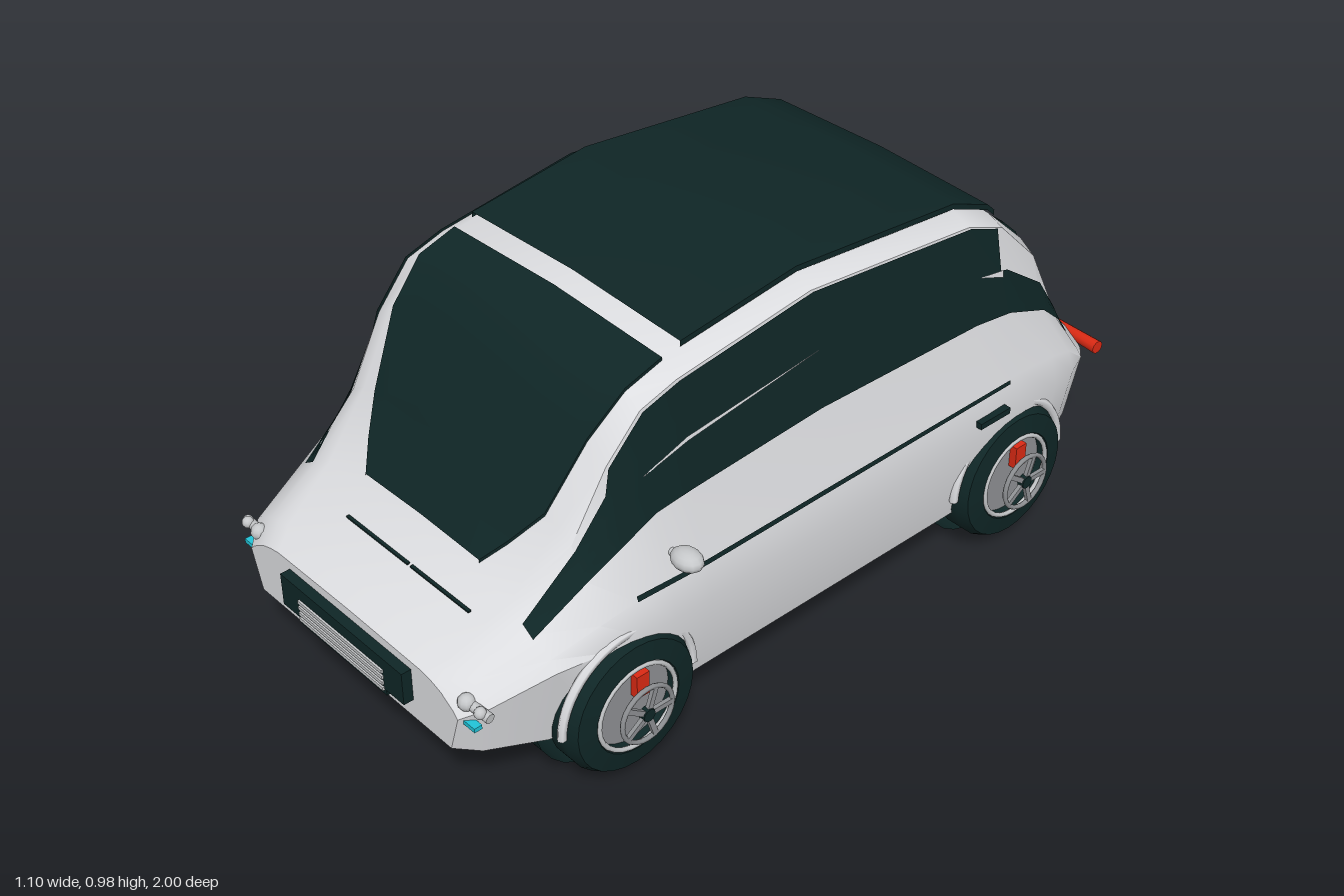
import * as THREE from 'three';
import { toCreasedNormals } from 'three/addons/utils/BufferGeometryUtils.js';

const mat = (name, color, side = THREE.FrontSide) => {
  const m = new THREE.MeshStandardMaterial({ color, side });
  m.name = name;
  return m;
};
const mix = THREE.MathUtils.lerp;

// Body stations, front to back: z, half width at the belt, then heights of window foot, window top and centre
const STATIONS = [
  [0.97, 0.375, 0.34, 0.35, 0.36],
  [0.92, 0.42, 0.37, 0.38, 0.39],
  [0.78, 0.465, 0.435, 0.46, 0.48],
  [0.66, 0.485, 0.52, 0.59, 0.63],
  [0.57, 0.495, 0.57, 0.75, 0.8],
  [0.48, 0.5, 0.615, 0.85, 0.885],
  [0.38, 0.5, 0.625, 0.88, 0.915],
  [0, 0.5, 0.65, 0.93, 0.96],
  [-0.5, 0.5, 0.64, 0.88, 0.91],
  [-0.62, 0.495, 0.62, 0.83, 0.86],
  [-0.76, 0.48, 0.56, 0.69, 0.735],
  [-0.84, 0.465, 0.49, 0.54, 0.59],
  [-0.9, 0.44, 0.42, 0.43, 0.445],
  [-0.96, 0.39, 0.385, 0.395, 0.4],
  [-0.985, 0.355, 0.365, 0.375, 0.385],
];
const WINDOW_FOOT = 3, WINDOW_TOP = 4;

// Half section of a station: sill, belt, waist, window foot, window top, roof edge, roof centre
const SECTIONS = STATIONS.map(([z, w, foot, top, centre]) => {
  const lift = Math.max(0, (Math.abs(z) - 0.7) / 0.27), belt = Math.min(0.37, foot - 0.04);
  return {
    z,
    p: [
      [w * 0.92, 0.145 + 0.055 * lift], [w, belt], [w * 0.96, mix(belt, foot, 0.4)], [w * 0.86, foot],
      [w * 0.78, top], [w * 0.69, mix(top, centre, 0.65)], [0, centre],
    ],
  };
});

function sectionAt(z) {
  let i = 0;
  while (i < SECTIONS.length - 2 && SECTIONS[i + 1].z > z) i++;
  const a = SECTIONS[i], b = SECTIONS[i + 1], t = (a.z - z) / (a.z - b.z);
  return a.p.map((q, k) => [mix(q[0], b.p[k][0], t), mix(q[1], b.p[k][1], t)]);
}
// Look up one coordinate on the section from the other
function lookUp(points, from, value) {
  const to = 1 - from;
  const p = from === 0 ? points.slice(WINDOW_FOOT).reverse() : points;
  let i = 0;
  while (i < p.length - 2 && value > p[i + 1][from]) i++;
  return mix(p[i][to], p[i + 1][to], (value - p[i][from]) / (p[i + 1][from] - p[i][from]));
}

// Skin over rows of points, running front to back
function skin(rows, closed = false) {
  const n = rows[0].length, index = [];
  for (let i = 0; i < rows.length - 1; i++) {
    for (let j = 0; j < (closed ? n : n - 1); j++) {
      const a = i * n + j, b = i * n + (j + 1) % n;
      index.push(a, a + n, b, b, a + n, b + n);
    }
  }
  const g = new THREE.BufferGeometry();
  g.setAttribute('position', new THREE.Float32BufferAttribute(rows.flat(2), 3));
  g.setIndex(index);
  return toCreasedNormals(g, 0.6);
}

export function createModel() {
  const car = new THREE.Group();
  car.name = 'car';
  const paint = mat('white paint', 0xdcdde0, THREE.DoubleSide);
  const dark = mat('dark glass and rubber', 0x0f2626, THREE.DoubleSide);
  const metal = mat('grey metal', 0x8f9194);
  const silver = mat('light silver', 0xc6c8ca);
  const red = mat('red', 0xdc2a14);
  const cyan = mat('cyan light', 0x22c4d8);

  const add = (name, geo, m, pos = [0, 0, 0], parent = car) => {
    const mesh = new THREE.Mesh(geo, m);
    mesh.name = name;
    mesh.position.set(...pos);
    parent.add(mesh);
    return mesh;
  };
  const box = (name, size, pos, m, parent) => add(name, new THREE.BoxGeometry(...size), m, pos, parent);
  // Tapered round bar between two points
  const rod = (name, a, b, ra, rb, m) => {
    const A = new THREE.Vector3(...a), B = new THREE.Vector3(...b), d = B.clone().sub(A);
    const mesh = add(name, new THREE.CylinderGeometry(rb, ra, d.length(), 10), m);
    mesh.position.copy(A).add(B).multiplyScalar(0.5);
    mesh.quaternion.setFromUnitVectors(new THREE.Vector3(0, 1, 0), d.normalize());
  };

  // Body shell, closed at nose and tail
  const rings = SECTIONS.map(({ z, p }) => [
    ...p.map(([x, y]) => [x, y, z]),
    ...p.slice(0, -1).reverse().map(([x, y]) => [-x, y, z]),
  ]);
  const cap = (ring) => ring.map(() => [0, 0.27, ring[0][2]]);
  add('body', skin([cap(rings[0]), ...rings, cap(rings.at(-1))], true), paint);

  // Panels lying on the top surface: [z, half width] per row
  const topPanel = (name, rows, lift, skirt) => add(name, skin(rows.map(([z, w]) => {
    const s = sectionAt(z);
    const pts = [1, 0.85, 0.5, 0, -0.5, -0.85, -1].map((f) => [f * w, lookUp(s, 0, Math.abs(f * w)) + lift, z]);
    const edge = ([x, y]) => [x, y - skirt, z];
    return [edge(pts[0]), ...pts, edge(pts.at(-1))];
  })), dark);
  topPanel('windshield', [[0.765, 0.2], [0.72, 0.245], [0.66, 0.295], [0.57, 0.33], [0.48, 0.345], [0.38, 0.345]], 0.009, 0.008);
  topPanel('roofPanel', [[0.33, 0.345], [0, 0.345], [-0.5, 0.34], [-0.62, 0.34], [-0.65, 0.335]], 0.02, 0.014);
  topPanel('rearWindow', [[-0.7, 0.32], [-0.76, 0.315], [-0.84, 0.3], [-0.895, 0.2]], 0.009, 0.008);

  // Panels lying on the flanks: [z, low, high] per row, as heights or as fractions of the window band
  const sidePanel = (name, side, rows, lift, m, inBand) => add(name, skin(rows.map(([z, lo, hi]) => {
    const s = sectionAt(z), foot = s[WINDOW_FOOT][1], top = s[WINDOW_TOP][1];
    return [0, 0.33, 0.67, 1].map((f) => {
      const v = mix(lo, hi, f), y = inBand ? mix(foot, top, v) : v;
      return [side * (lookUp(s, 1, y) + lift), y, z];
    });
  })), m);
  const windowRows = [[0.79, 0.9], [0.66, 0.9], [0.585, 0.8], [0.57, 1], [0.48, 1], [0.38, 1], [0, 1], [-0.5, 1],
    [-0.595, 1], [-0.597, 0.52], [-0.62, 0.52], [-0.76, 0.52], [-0.84, 0.6], [-0.9, 0.7]].map(([z, top]) => [z, 0, top]);

  for (const side of [1, -1]) {
    const s = side > 0 ? 'left' : 'right';
    sidePanel(s + 'SideWindow', side, windowRows, 0.008, dark, true);
    sidePanel(s + 'FrontWindowBar', side, [[0.5, 0.47, 0.48], [0.38, 0.46, 0.5], [0, 0.51, 0.515]], 0.012, paint, true);
    sidePanel(s + 'RearWindowBar', side, [[-0.52, 0.49, 0.5], [-0.6, 0.45, 0.53]], 0.012, paint, true);
    sidePanel(s + 'SideTrim', side, [[0.57, 0.453, 0.465], [0.38, 0.456, 0.468], [0, 0.462, 0.474], [-0.58, 0.464, 0.474]], 0.007, dark, false);
    box(s + 'DoorHandle', [0.02, 0.016, 0.1], [side * 0.498, 0.41, -0.51], dark);

    // Mirror on a short stalk
    const mirror = add(s + 'Mirror', new THREE.SphereGeometry(1, 12, 8), silver, [side * 0.51, 0.525, 0.46]);
    mirror.scale.set(0.042, 0.024, 0.032);
    rod(s + 'MirrorStalk', [side * 0.44, 0.515, 0.46], [side * 0.5, 0.52, 0.46], 0.01, 0.01, silver);

    // Head and tail lights
    rod(s + 'HeadlightBar', [side * 0.22, 0.345, 0.955], [side * 0.44, 0.326, 0.935], 0.011, 0.012, silver);
    for (const [x, r] of [[0.375, 0.02], [0.3, 0.013], [0.42, 0.014]]) {
      add(s + 'Headlight', new THREE.SphereGeometry(r, 10, 8), silver, [side * x, 0.335, 0.945]);
    }
    box(s + 'RunningLight', [0.11, 0.011, 0.02], [side * 0.362, 0.292, 0.95], cyan);
    rod(s + 'TailLight', [0, 0.372, -0.985], [side * 0.44, 0.37, -0.962], 0.006, 0.017, red);

    // Wheels, built along their axle
    for (const [end, z] of [['Front', 0.6], ['Rear', -0.6]]) {
      const wheel = new THREE.Group();
      wheel.name = s + end + 'Wheel';
      wheel.position.set(0, 0.2, z);
      wheel.rotation.z = -side * Math.PI / 2;
      car.add(wheel);
      const profile = [[0.1, 0.41], [0.165, 0.41], [0.175, 0.425], [0.175, 0.48], [0.162, 0.505], [0.115, 0.512], [0.105, 0.47]];
      add('tyre', toCreasedNormals(new THREE.LatheGeometry(profile.map((q) => new THREE.Vector2(...q)), 28), 0.6), dark, [0, 0, 0], wheel);
      add('innerBand', new THREE.CylinderGeometry(0.2, 0.2, 0.105, 28, 1, true), dark, [0, 0.353, 0], wheel);
      add('brakeDisc', new THREE.CylinderGeometry(0.107, 0.107, 0.06, 28), metal, [0, 0.455, 0], wheel);
      box('caliper', [0.06, 0.02, 0.035], [-side * 0.045, 0.495, -0.02], red, wheel);
      add('rimEdge', new THREE.TorusGeometry(0.107, 0.006, 6, 28), silver, [0, 0.509, 0], wheel).rotation.x = Math.PI / 2;
      add('rimRing', new THREE.TorusGeometry(0.07, 0.006, 6, 24), metal, [0, 0.54, 0], wheel).rotation.x = Math.PI / 2;
      add('hub', new THREE.CylinderGeometry(0.016, 0.018, 0.016, 12), dark, [0, 0.54, 0], wheel);
      for (let i = 0; i < 5; i++) {
        const a = i * Math.PI * 0.4 + 0.3;
        box('spoke', [0.055, 0.01, 0.013], [Math.cos(a) * 0.042, 0.54, -Math.sin(a) * 0.042], metal, wheel).rotation.y = a;
      }
      add(s + end + 'WheelArch', new THREE.TorusGeometry(0.184, 0.011, 6, 24, Math.PI), paint, [side * 0.479, 0.2, z]).rotation.y = Math.PI / 2;
    }
  }

  // Grille with bright bars
  box('grille', [0.44, 0.085, 0.03], [0, 0.293, 0.98], dark);
  box('lowerGrille', [0.315, 0.025, 0.028], [0, 0.247, 0.98], dark);
  for (let i = 0; i < 4; i++) box('grilleBar', [0.305, 0.009, 0.006], [0, 0.252 + i * 0.016, 0.997], silver);

  // Bonnet seam
  for (const [x, w] of [[-0.06, 0.22], [0.16, 0.2]]) {
    box('bonnetSeam', [w, 0.004, 0.008], [x, lookUp(sectionAt(0.84), 0, 0.15) + 0.004, 0.84], dark);
  }

  // Number plate
  box('plateFrame', [0.3, 0.105, 0.012], [0, 0.275, -0.989], dark);
  box('numberPlate', [0.262, 0.072, 0.006], [0, 0.275, -0.996], silver);
  return car;
}
